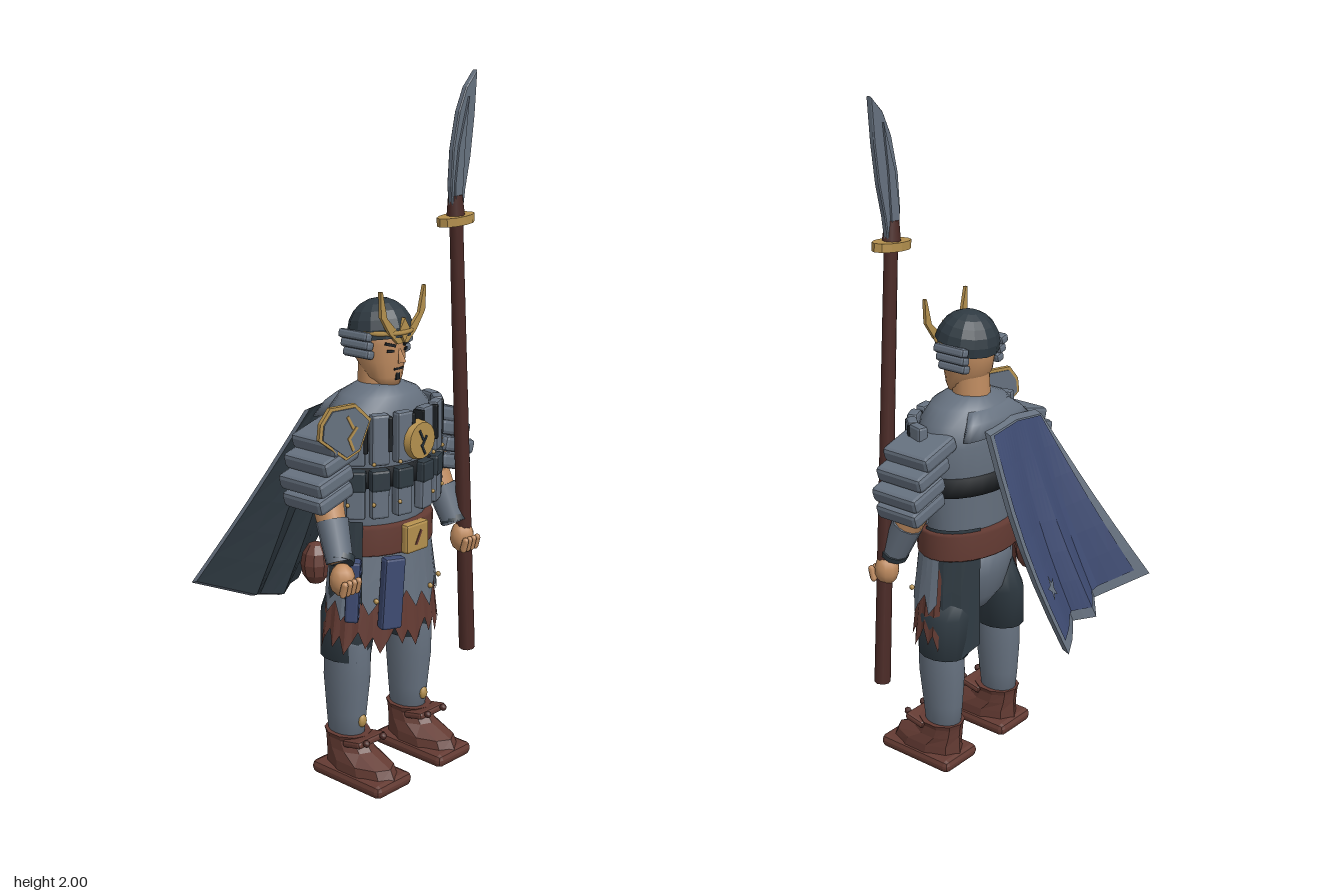
import * as THREE from 'three';
import { RoundedBoxGeometry } from 'three/addons/geometries/RoundedBoxGeometry.js';

const mat = (name, color, side = THREE.FrontSide) => {
  const m = new THREE.MeshStandardMaterial({ color, side });
  m.name = name;
  return m;
};
const M = {
  slate: mat('slate', 0x66717f, THREE.DoubleSide),
  dark: mat('darkSteel', 0x2f3a42, THREE.DoubleSide),
  brown: mat('leather', 0x643b33, THREE.DoubleSide),
  wood: mat('darkWood', 0x4c2b27),
  gold: mat('gold', 0xb4904e),
  skin: mat('skin', 0xc08c60),
  blue: mat('blueCloth', 0x3e4b72),
  black: mat('black', 0x1c2024),
};
const CX = 0.027, CZ = 0.1; // body axis

export function createModel() {
  const root = new THREE.Group();
  const add = (name, geo, m, pos = [0, 0, 0], rot = [0, 0, 0], scale = [1, 1, 1], parent = root) => {
    const mesh = new THREE.Mesh(geo, m);
    mesh.name = name;
    mesh.position.set(...pos);
    mesh.rotation.set(...rot);
    mesh.scale.set(...scale);
    parent.add(mesh);
    return mesh;
  };
  const flat = (g) => {
    const f = g.index ? g.toNonIndexed() : g;
    f.computeVertexNormals();
    return f;
  };
  const slab = (w, h, d, r = 0.008) => flat(new RoundedBoxGeometry(w, h, d, 1, r));
  const ball = (r, n = 10) => new THREE.SphereGeometry(r, n, Math.max(6, n * 0.7 | 0));
  const plate = (pts, depth, bevel = 0) => new THREE.ExtrudeGeometry(
    new THREE.Shape(pts.map((p) => new THREE.Vector2(...p))),
    { depth, bevelEnabled: bevel > 0, bevelSize: bevel, bevelThickness: bevel, bevelSegments: 1 });

  // Elliptical sections [y, rx, rz, cx, cz], listed upwards
  const loft = (rows, n = 24) => {
    const pos = [], idx = [];
    rows.forEach(([y, rx, rz, cx = CX, cz = CZ]) => {
      for (let j = 0; j < n; j++) {
        const a = j / n * Math.PI * 2;
        pos.push(cx + rx * Math.sin(a), y, cz + rz * Math.cos(a));
      }
    });
    for (let i = 0; i < rows.length - 1; i++) for (let j = 0; j < n; j++) {
      const k = (j + 1) % n, a = i * n, b = a + n;
      idx.push(a + j, a + k, b + k, a + j, b + k, b + j);
    }
    [rows[0], rows[rows.length - 1]].forEach(([y, , , cx = CX, cz = CZ], e) => {
      const c = pos.length / 3, base = e ? (rows.length - 1) * n : 0;
      pos.push(cx, y, cz);
      for (let j = 0; j < n; j++) {
        const k = (j + 1) % n;
        idx.push(c, base + (e ? j : k), base + (e ? k : j));
      }
    });
    const g = new THREE.BufferGeometry();
    g.setAttribute('position', new THREE.Float32BufferAttribute(pos, 3));
    g.setIndex(idx);
    g.computeVertexNormals();
    return g;
  };

  // Hanging cloth round the hips with a rule for its lower edge
  const drape = (a0, a1, n, yTop, top, bot, hem) => {
    const g = new THREE.PlaneGeometry(1, 1, n, 2), p = g.attributes.position;
    for (let i = 0; i < p.count; i++) {
      const u = p.getX(i) + 0.5, v = 0.5 - p.getY(i), a = a0 + (a1 - a0) * u;
      const y = yTop + (hem(Math.round(u * n)) - yTop) * v;
      const t = Math.min(1, (yTop - y) / 0.3);
      const r = 1 + 0.03 * t * (Math.round(u * n) % 2);
      p.setXYZ(i, CX + (top[0] + (bot[0] - top[0]) * t) * r * Math.sin(a), y,
        CZ + (top[1] + (bot[1] - top[1]) * t) * r * Math.cos(a));
    }
    return flat(g);
  };

  // Tapered limb between two points
  const limb = (name, a, b, ra, rb, m, n = 12) => {
    const A = new THREE.Vector3(...a), B = new THREE.Vector3(...b), d = B.clone().sub(A);
    const mesh = add(name, new THREE.CylinderGeometry(rb, ra, d.length(), n), m);
    mesh.position.copy(A).addScaledVector(d, 0.5);
    mesh.quaternion.setFromUnitVectors(new THREE.Vector3(0, 1, 0), d.normalize());
    return mesh;
  };

  // Torso, pelvis, neck, head
  add('torso', loft([[0.66, 0.15, 0.105], [0.78, 0.158, 0.11], [0.95, 0.175, 0.12], [1.03, 0.182, 0.125],
    [1.09, 0.165, 0.115], [1.13, 0.125, 0.095], [1.155, 0.065, 0.06]]), M.slate);
  add('pelvis', loft([[0.48, 0.06, 0.05], [0.53, 0.12, 0.085], [0.61, 0.152, 0.107], [0.7, 0.155, 0.11]]), M.slate);
  add('neck', new THREE.CylinderGeometry(0.052, 0.058, 0.13, 14), M.skin, [CX, 1.17, 0.09]);
  add('head', loft([[1.15, 0.032, 0.026, CX, 0.137], [1.175, 0.052, 0.052, CX, 0.117], [1.22, 0.066, 0.073, CX, 0.102],
    [1.27, 0.072, 0.078, CX, 0.098], [1.31, 0.072, 0.077, CX, 0.098], [1.35, 0.05, 0.055, CX, 0.098]], 18), M.skin);
  add('nose', new THREE.ConeGeometry(0.016, 0.05, 4), M.skin, [CX, 1.242, 0.178], [-0.25, 0, 0]);
  add('mouth', new THREE.BoxGeometry(0.035, 0.006, 0.008), M.black, [CX, 1.2, 0.169]);
  add('chinBeard', slab(0.018, 0.022, 0.01, 0.003), M.black, [CX, 1.178, 0.166]);
  for (const s of [-1, 1]) {
    add('eye', new THREE.BoxGeometry(0.021, 0.007, 0.008), M.black, [CX + s * 0.03, 1.252, 0.168], [0, s * 0.4, 0]);
    add('eyebrow', new THREE.BoxGeometry(0.032, 0.008, 0.008), M.black, [CX + s * 0.031, 1.27, 0.168], [0, s * 0.4, s * 0.25]);
  }

  // Helmet with side flaps and horned crest
  add('helmet', flat(new THREE.SphereGeometry(0.093, 14, 6, 0, Math.PI * 2, 0, 1.75)), M.dark, [CX, 1.298, 0.103], [-0.12, 0, 0]);
  add('helmetBand', new THREE.TorusGeometry(0.085, 0.007, 5, 20, Math.PI), M.gold, [CX, 1.305, 0.108], [Math.PI / 2, 0, 0]);
  for (const s of [-1, 1]) {
    for (let i = 0; i < 3; i++)
      add('helmetFlap', slab(0.03, 0.026, 0.11 - i * 0.006), M.slate, [CX + s * (0.088 - i * 0.006), 1.295 - i * 0.026, 0.09], [0, 0, s * 0.25]);
    add('crestHorn', plate([[0, 1.27], [s * 0.03, 1.31], [s * 0.066, 1.345], [s * 0.085, 1.42],
      [s * 0.093, 1.42], [s * 0.09, 1.35], [s * 0.055, 1.3], [s * 0.02, 1.268]], 0.01), M.gold, [CX, 0.005, 0.178]);
  }
  add('crestCentre', plate([[-0.02, 0.01], [0, -0.03], [0.02, 0.01], [0, 0.04]], 0.012), M.gold, [CX, 1.305, 0.182]);

  // Chest plates in a ring, with dark lacing and gold studs
  for (const s of [-1, 1]) for (const a of [0.23, 0.63, 1.03, 1.4]) {
    const g = new THREE.Group();
    g.name = 'chestPlate';
    g.position.set(CX + s * 0.197 * Math.sin(a), 0, CZ + 0.132 * Math.cos(a));
    g.rotation.y = s * Math.atan2(0.132 * Math.sin(a), 0.197 * Math.cos(a));
    root.add(g);
    add('upperPlate', slab(0.054, 0.145, 0.032), M.slate, [0, 1.025, 0], [0, 0, 0], [1, 1, 1], g);
    add('lowerPlate', slab(0.054, 0.135, 0.032), M.slate, [0, 0.868, 0], [0, 0, 0], [1, 1, 1], g);
    add('lacing', slab(0.058, 0.062, 0.034), M.dark, [0, 0.91, 0.003], [0, 0, 0], [1, 1, 1], g);
    add('topLacing', slab(0.014, 0.1, 0.034, 0.004), M.black, [-s * 0.027, 1.04, 0], [0, 0, 0], [1, 1, 1], g);
    for (const y of [0.845, 0.96]) add('stud', ball(0.006, 6), M.gold, [s * 0.022, y, 0.018], [0, 0, 0], [1, 1, 1], g);
  }
  add('chestStrap', loft([[0.885, 0.187, 0.129], [0.94, 0.189, 0.131]], 28), M.black);
  add('chestDisc', new THREE.CylinderGeometry(0.052, 0.058, 0.025, 16), M.gold, [CX, 1.01, 0.25], [Math.PI / 2, 0, 0]);
  [[-0.006, 1.026, 0.5], [0.006, 1.008, -0.6], [0.002, 0.985, 0.5]].forEach(([x, y, r]) =>
    add('discCrack', new THREE.BoxGeometry(0.006, 0.034, 0.004), M.dark, [CX + x, y, 0.264], [0, 0, r]));

  // Belt, buckle, pouch and hanging scroll cases
  add('belt', loft([[0.685, 0.178, 0.128], [0.69, 0.182, 0.132], [0.762, 0.182, 0.132], [0.77, 0.178, 0.128]], 28), M.brown);
  add('buckle', slab(0.092, 0.086, 0.03), M.gold, [CX + 0.002, 0.726, 0.235]);
  add('buckleMark', new THREE.BoxGeometry(0.008, 0.045, 0.005), M.brown, [CX + 0.002, 0.726, 0.25], [0, 0, -0.5]);
  add('pouch', flat(ball(0.045, 9)), M.brown, [-0.13, 0.63, 0.0], [0, 0, 0], [1, 1.45, 0.95]);
  add('scrollCase', slab(0.065, 0.21, 0.035), M.blue, [-0.072, 0.585, 0.24], [0, -0.3, -0.06]);
  add('scrollCaseSmall', slab(0.04, 0.18, 0.045), M.blue, [-0.165, 0.6, 0.18], [0, -0.9, -0.04]);

  // Ragged skirt in two layers and dark hip cloths
  const jag = (i) => ((i * 7) % 5) / 5;
  add('skirtUnder', drape(-1.85, 1.85, 30, 0.7, [0.17, 0.12], [0.205, 0.142], (i) => 0.4 + 0.085 * jag(i)), M.brown);
  add('skirtUpper', drape(-1.8, 1.8, 22, 0.7, [0.176, 0.126], [0.217, 0.154], (i) => 0.5 + 0.09 * jag(i + 2)), M.slate);
  for (const a of [-0.7, 0.35, 0.9]) add('skirtStud', ball(0.008, 6), M.gold, [CX + 0.204 * Math.sin(a), 0.56, CZ + 0.147 * Math.cos(a)]);
  add('hipClothLeft', drape(1.35, 2.65, 7, 0.78, [0.17, 0.12], [0.185, 0.122], (i) => 0.37 + 0.05 * jag(i)), M.dark);
  add('hipClothRight', drape(-1.65, -0.95, 5, 0.79, [0.186, 0.136], [0.2, 0.15], (i) => 0.55 + 0.05 * jag(i)), M.dark);

  // Legs and boots
  for (const c of [-0.107, 0.16]) {
    add('thigh', loft([[0.37, 0.066, 0.08, c, 0.095], [0.5, 0.076, 0.088, c + (c < 0 ? 0.015 : -0.01), 0.095],
      [0.6, 0.07, 0.085, c * 0.6 + 0.01, 0.1]], 14), M.dark);
    add('shin', loft([[0.1, 0.044, 0.055, c, 0.1], [0.2, 0.05, 0.066, c, 0.1], [0.31, 0.06, 0.075, c, 0.102],
      [0.42, 0.059, 0.073, c, 0.105], [0.46, 0.05, 0.06, c, 0.105]], 16), M.slate);
    add('shinStud', ball(0.017, 8), M.gold, [c, 0.182, 0.163], [0, 0, 0], [0.9, 1.2, 0.6]);
    add('sole', slab(0.148, 0.04, 0.268, 0.016), M.brown, [c, 0.02, 0.16]);
    add('boot', flat(loft([[0.03, 0.068, 0.128, c, 0.163], [0.065, 0.066, 0.118, c, 0.155],
      [0.095, 0.058, 0.08, c, 0.118], [0.125, 0.056, 0.07, c, 0.105], [0.14, 0.062, 0.074, c, 0.105]], 10)), M.brown);
    add('bootCuff', slab(0.115, 0.022, 0.07), M.brown, [c, 0.127, 0.17], [-0.2, 0, 0]);
    for (const s of [-1, 1]) add('bootKnot', ball(0.011, 7), M.wood, [c + s * 0.035, 0.138, 0.212]);
  }

  // Arms, bracers, hands and layered shoulder guards
  for (const s of [-1, 1]) {
    const X = (d) => CX + s * d;
    const elbow = [X(0.225), 0.85, 0.115], wrist = [X(s < 0 ? 0.25 : 0.238), 0.7, 0.185];
    limb('upperArm', elbow, [X(0.18), 1.03, 0.1], 0.045, 0.055, M.skin);
    add('elbow', ball(0.046, 12), M.skin, elbow);
    limb('forearm', wrist, elbow, 0.034, 0.045, M.skin);
    limb('bracer', wrist, [X(0.231), 0.805, 0.137], 0.038, 0.046, M.slate, 10);
    limb('bracerTrim', wrist, [X(0.24), 0.715, 0.178], 0.041, 0.041, M.dark, 10);
    add('hand', ball(0.043, 10), M.skin, [X(0.256), 0.655, 0.2], [0, 0, 0], [0.85, 1.1, 0.85]);
    for (let i = 0; i < 4; i++)
      add('finger', new THREE.CapsuleGeometry(0.01, 0.03, 2, 6), M.skin, [X(0.256) + (i - 1.5) * 0.018, 0.64, 0.232], [0.25, 0, 0]);
    [[1.035, 0.275], [0.985, 0.305], [0.93, 0.325], [0.88, 0.318]].forEach(([y, out], i) =>
      add('shoulderGuard', slab(0.135, 0.046, 0.165 - (i === 3 ? 0.015 : 0), 0.012), M.slate, [X(out - 0.066), y, 0.105], [0, 0, -s * 0.28]));
  }

  // Angular shoulder shield with gold rim
  const shield = new THREE.Group();
  shield.name = 'shoulderShield';
  shield.position.set(-0.205, 1.062, 0.188);
  shield.rotation.y = -0.25;
  root.add(shield);
  const outline = [[-0.08, 0.035], [-0.05, 0.075], [0.03, 0.078], [0.08, 0.03], [0.045, -0.055], [0.0, -0.075], [-0.085, -0.01]];
  add('shieldRim', plate(outline, 0.014), M.gold, [0, 0, -0.008], [0, 0, 0], [1, 1, 1], shield);
  add('shieldFace', plate(outline.map(([x, y]) => [x * 0.88, y * 0.88]), 0.022), M.slate, [0, 0, -0.011], [0, 0, 0], [1, 1, 1], shield);
  [[0.01, 0.03, 0.5], [0.018, 0.0, -0.7], [0.012, -0.03, 0.4]].forEach(([x, y, r]) =>
    add('shieldInlay', new THREE.BoxGeometry(0.008, 0.04, 0.004), M.gold, [x, y, 0.012], [0, 0, r], [1, 1, 1], shield));

  // Polearm
  limb('pole', [0.311, 0.295, 0.205], [0.222, 1.63, 0.205], 0.024, 0.019, M.wood, 8);
  add('poleGuard', flat(new THREE.CylinderGeometry(0.068, 0.068, 0.024, 12)), M.gold, [0.222, 1.597, 0.205], [0, 0, 0.07], [1, 1, 0.56]);
  add('blade', plate([[0.207, 1.61], [0.194, 1.69], [0.2, 1.79], [0.222, 1.89], [0.252, 1.955], [0.292, 1.997],
    [0.284, 1.88], [0.27, 1.77], [0.25, 1.68], [0.24, 1.61]], 0.012, 0.003), M.slate, [0, 0, 0.199]);
  add('bladeSpine', plate([[0.205, 1.62], [0.203, 1.7], [0.216, 1.8], [0.255, 1.93], [0.24, 1.8], [0.23, 1.62]], 0.03), M.slate, [0, 0, 0.19]);
  add('bladeCollar', new THREE.CylinderGeometry(0.02, 0.026, 0.06, 8), M.wood, [0.22, 1.635, 0.205], [0, 0, 0.07]);

  // Wind-blown cape
  const hem = [[-0.345, 0.555, -0.285], [-0.2, 0.5, -0.185], [-0.14, 0.475, -0.235], [-0.085, 0.47, -0.19],
    [0, 0.465, -0.25], [0.067, 0.455, -0.285]];
  const capePoint = (u, v, off) => {
    const k = Math.min(4, Math.floor(u * 5 + 1e-6)), f = u * 5 - k;
    const h = [0, 1, 2].map((c) => hem[k][c] * (1 - f) + hem[k + 1][c] * f);
    const top = [-0.125 + 0.235 * u, 1.09 - 0.03 * Math.abs(u - 0.5), -0.035];
    const p = top.map((t, c) => t + (h[c] - t) * v), b = Math.sin(Math.PI * v);
    return [p[0] + 0.025 * u * b, p[1] - 0.01 * b - off * 0.4, p[2] - off];
  };
  const drapeCape = (g, rule) => {
    const p = g.attributes.position;
    for (let i = 0; i < p.count; i++) p.setXYZ(i, ...capePoint(...rule(p.getX(i), p.getY(i), p.getZ(i))));
    return g;
  };
  const cape = new THREE.BoxGeometry(1, 1, 1, 10, 6, 1);
  drapeCape(cape, (x, y, z) => [x + 0.5, 0.5 - y, -z * 0.022]);
  const capeFlat = cape.toNonIndexed();
  cape.groups.forEach((q) => capeFlat.addGroup(q.start, q.count, q.materialIndex));
  capeFlat.computeVertexNormals();
  add('cape', capeFlat, [M.slate, M.slate, M.slate, M.slate, M.dark, M.slate]);
  const panel = new THREE.PlaneGeometry(1, 1, 20, 6);
  panel.rotateY(Math.PI);
  add('capePanel', flat(drapeCape(panel, (x, y) => [0.5 + x * 0.92, (0.5 - y) * 0.94, 0.016])), M.blue);
  const star = [];
  for (let i = 0; i < 10; i++) {
    const r = i % 2 ? 0.4 : 1, a = i / 10 * Math.PI * 2;
    star.push(new THREE.Vector2(0.8 + 0.085 * r * Math.sin(a), 0.72 - 0.065 * r * Math.cos(a)));
  }
  add('capeStar', flat(drapeCape(new THREE.ShapeGeometry(new THREE.Shape(star)), (x, y) => [x, y, 0.021])), M.slate);
  add('capeCollar', loft([[1.06, 0.155, 0.03, CX, -0.008], [1.1, 0.12, 0.03, CX, 0.005], [1.125, 0.09, 0.025, CX, 0.025]], 16), M.slate);

  return root;
}
